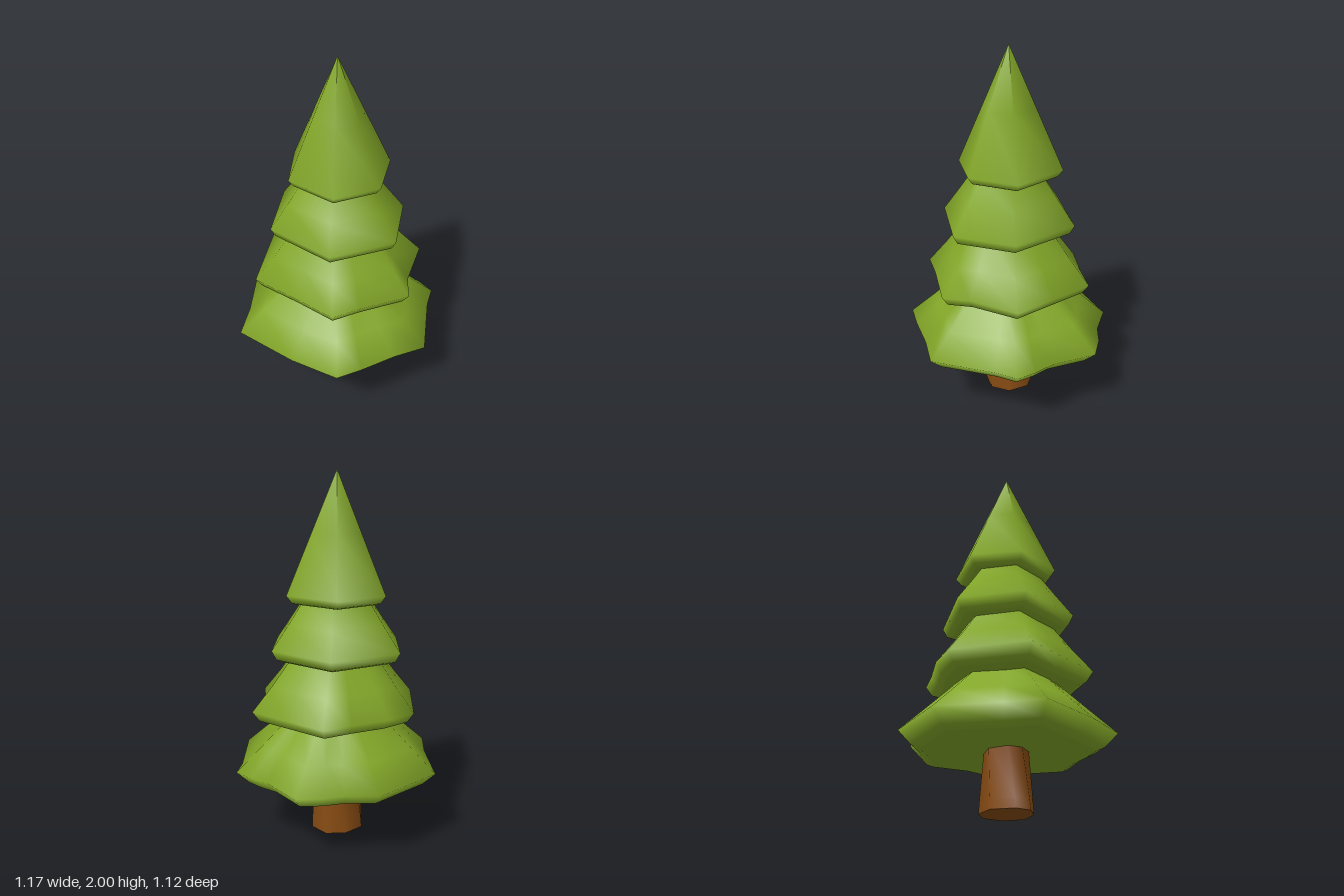
import * as THREE from 'three';

const leaf = new THREE.MeshStandardMaterial({ color: 0x82a628 });
leaf.name = 'leaf green';
const bark = new THREE.MeshStandardMaterial({ color: 0x854a12 });
bark.name = 'bark brown';

// Stacks scaled (and optionally twisted) copies of an outline, smooth round the sides.
// outline: [x, z] points, clockwise from above; rings: [y, scale, twist] from bottom to top
function stack(name, outline, rings, material) {
  const n = outline.length, pos = [], index = [];
  const addRing = ([y, s, twist = 0]) => {
    const c = Math.cos(twist), k = Math.sin(twist);
    for (const [x, z] of outline) pos.push(s * (x * c - z * k), y, s * (x * k + z * c));
  };
  rings.forEach(addRing);
  for (let r = 0; r < rings.length - 1; r++) {
    for (let i = 0; i < n; i++) {
      const j = (i + 1) % n, a = r * n + i, b = r * n + j;
      index.push(a, a + n, b + n);
      index.push(a, b + n, b);
    }
  }
  // flat caps with their own vertices
  const cap = (ring, up) => {
    const base = pos.length / 3;
    addRing(ring);
    pos.push(0, ring[0], 0);
    for (let i = 0; i < n; i++) {
      const p = base + i, q = base + (i + 1) % n;
      index.push(base + n, up ? q : p, up ? p : q);
    }
  };
  cap(rings[0], false);
  const top = rings[rings.length - 1];
  if (top[1] > 0.01) cap(top, true);
  const geo = new THREE.BufferGeometry();
  geo.setAttribute('position', new THREE.Float32BufferAttribute(pos, 3));
  geo.setIndex(index);
  geo.computeVertexNormals();
  const mesh = new THREE.Mesh(geo, material);
  mesh.name = name;
  return mesh;
}

export function createModel() {
  const tree = new THREE.Group();
  tree.name = 'pineTree';

  // Trunk: slightly twisted, flared at the foot
  const trunkOutline = [
    [-0.16, 0.02], [-0.11, -0.10], [0.01, -0.14], [0.11, -0.10],
    [0.15, 0.01], [0.10, 0.11], [-0.02, 0.135], [-0.12, 0.10],
  ];
  tree.add(stack('trunk', trunkOutline, [[0, 1], [0.05, 0.98, 0.03], [0.34, 0.84, 0.25]], bark));

  // Branch tiers, widest first
  tree.add(stack('bottomBranches', [
    [-0.59, 0.085], [-0.505, -0.1], [-0.40, -0.42], [-0.01, -0.56], [0.16, -0.49],
    [0.28, -0.475], [0.41, -0.43], [0.475, -0.19], [0.54, -0.09], [0.585, 0.01],
    [0.52, 0.12], [0.385, 0.455], [0.2, 0.48], [0, 0.53], [-0.145, 0.555], [-0.35, 0.37],
  ], [[0.315, 0.8], [0.335, 0.88], [0.405, 1], [0.53, 0.76], [0.69, 0.46]], leaf));

  tree.add(stack('lowerMiddleBranches', [
    [-0.475, 0.04], [-0.30, -0.345], [-0.13, -0.39], [0.08, -0.395], [0.245, -0.41],
    [0.37, -0.2], [0.49, 0], [0.34, 0.24], [0.30, 0.38], [0.02, 0.41],
    [-0.14, 0.44], [-0.3, 0.24],
  ], [[0.67, 0.83], [0.685, 0.92], [0.74, 1], [0.87, 0.77], [1.02, 0.53]], leaf));

  tree.add(stack('upperMiddleBranches', [
    [-0.375, 0.035], [-0.235, -0.30], [0.17, -0.335], [0.375, 0], [0.235, 0.31], [-0.13, 0.345],
  ], [[1, 0.84], [1.015, 0.93], [1.065, 1], [1.2, 0.74], [1.33, 0.5]], leaf));

  tree.add(stack('treetop', [
    [-0.27, 0.04], [-0.18, -0.23], [0.11, -0.275], [0.295, -0.02], [0.17, 0.225], [-0.09, 0.26],
  ], [[1.31, 0.82], [1.32, 0.9], [1.36, 1], [1.68, 0.5], [2, 0]], leaf));

  return tree;
}
